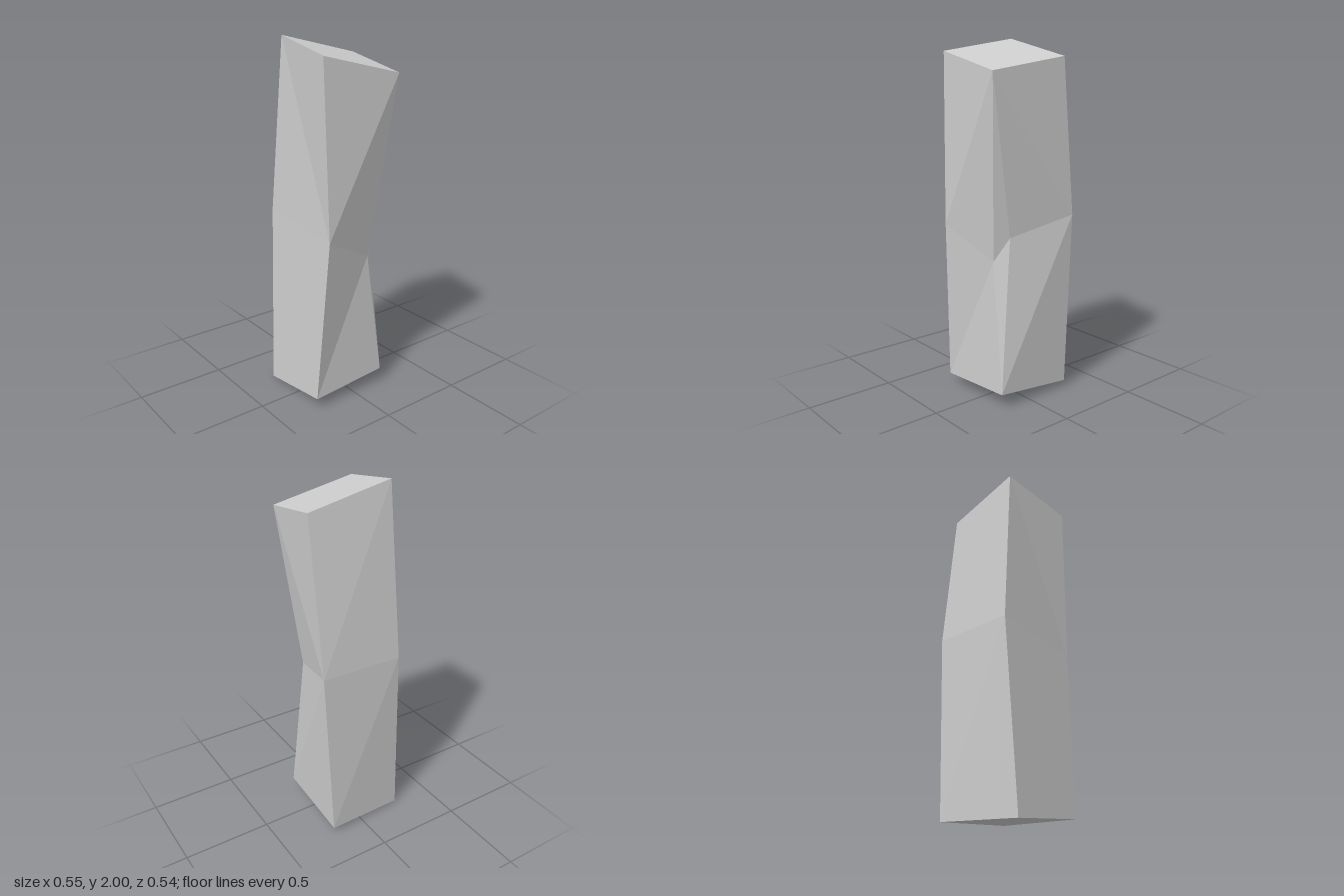
import * as THREE from 'three';

// Cross-sections, bottom to top. Corners run front right, front left, back left
// (doubled at the ends, split in two at the pinched waist), back right.
const RINGS = [
  [[-0.235, 0, 0.27], [0.21, 0.06, 0.27], [0.2, 0.085, -0.2], [0.2, 0.085, -0.2], [-0.275, 0.035, -0.2]],
  [[-0.272, 1.04, 0.22], [0.26, 0.98, 0.22], [0.18, 0.815, -0.105], [0.11, 0.945, -0.16], [-0.265, 1.04, -0.252]],
  [[-0.192, 2, 0.187], [0.238, 1.925, 0.24], [0.273, 1.82, -0.22], [0.273, 1.82, -0.22], [-0.165, 1.895, -0.272]],
];

export function createModel() {
  const positions = [];
  const tri = (a, b, c) => {
    if (a.join() === b.join() || b.join() === c.join() || c.join() === a.join()) return;
    positions.push(...a, ...b, ...c);
  };

  // Sides: join neighbouring sections, choosing each quad's fold line
  for (let r = 0; r < 2; r++) {
    for (let i = 0; i < 5; i++) {
      const j = (i + 1) % 5;
      const l0 = RINGS[r][i], l1 = RINGS[r][j];
      const u0 = RINGS[r + 1][i], u1 = RINGS[r + 1][j];
      if (i === 0 || (r === 1 && i === 3)) {
        tri(l0, l1, u0);
        tri(l1, u1, u0);
      } else {
        tri(l0, l1, u1);
        tri(l0, u1, u0);
      }
    }
  }

  // Slanted end caps
  const [bottom, , top] = RINGS;
  for (const [i, j] of [[1, 2], [2, 4]]) {
    tri(top[0], top[i], top[j]);
    tri(bottom[0], bottom[j], bottom[i]);
  }

  const geometry = new THREE.BufferGeometry();
  geometry.setAttribute('position', new THREE.Float32BufferAttribute(positions, 3));
  geometry.computeVertexNormals();

  const post = new THREE.Mesh(
    geometry,
    new THREE.MeshStandardMaterial({ color: 0xcccccc, flatShading: true })
  );
  post.name = 'notchedPost';

  const group = new THREE.Group();
  group.name = 'post';
  group.add(post);
  return group;
}
